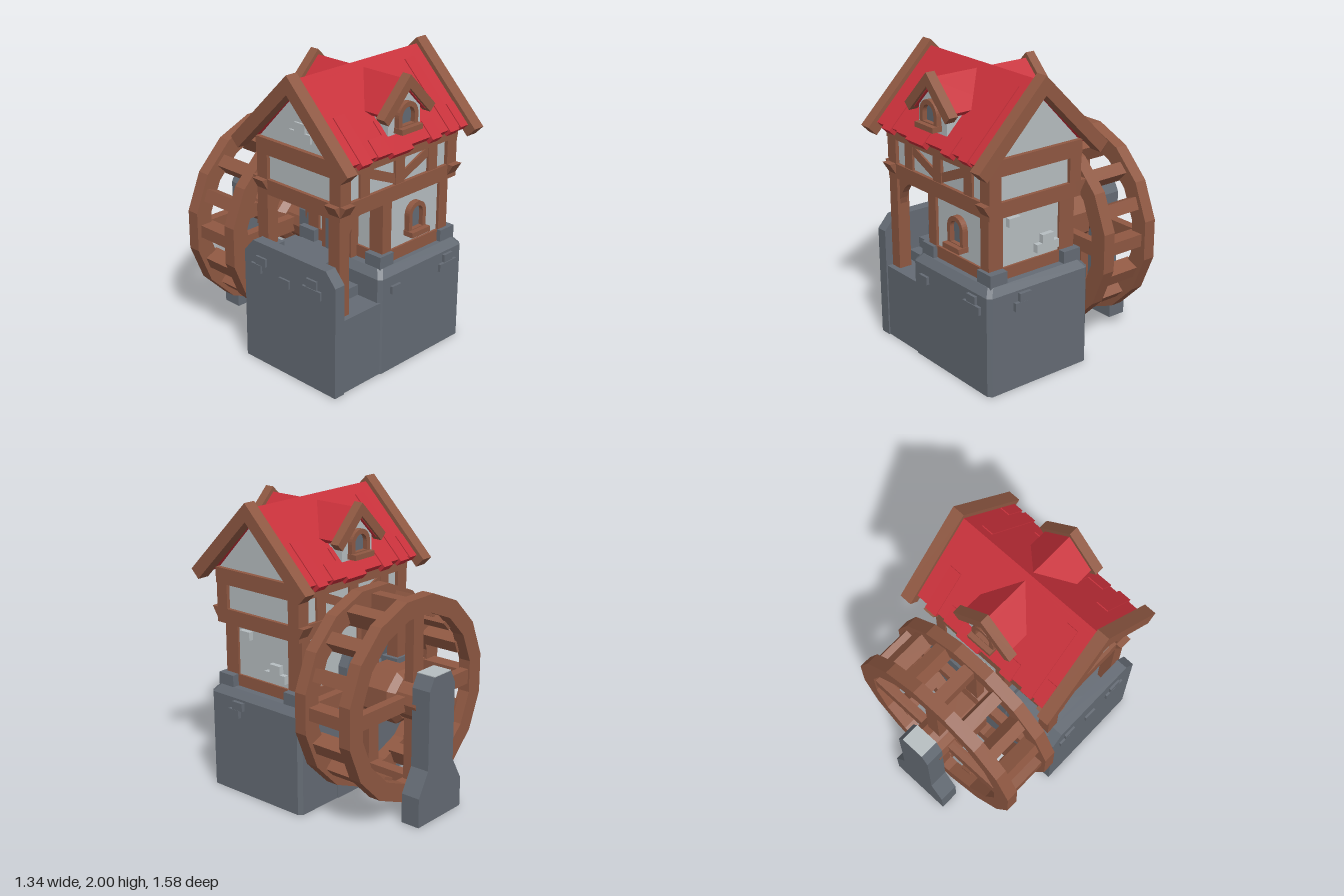
import * as THREE from 'three';
import { ConvexGeometry } from 'three/addons/geometries/ConvexGeometry.js';

const mat = (name, color) => {
  const m = new THREE.MeshStandardMaterial({ color });
  m.name = name;
  return m;
};

export function createModel() {
  const wood = mat('brown timber', 0x8f5842);
  const stone = mat('grey stone', 0x646b74);
  const plaster = mat('pale plaster', 0xb6bdc0);
  const red = mat('red roof', 0xc8303a);
  const model = new THREE.Group();
  model.name = 'watermill';
  const MZ = 0.285; // middle of the house in z

  const add = (parent, name, geo, material) => {
    const m = new THREE.Mesh(geo, material);
    m.name = name;
    parent.add(m);
    return m;
  };
  const group = (parent, name, x = 0, y = 0, z = 0) => {
    const g = new THREE.Group();
    g.name = name;
    g.position.set(x, y, z);
    parent.add(g);
    return g;
  };
  // box given by its limits on each axis
  const box = (parent, name, material, x0, x1, y0, y1, z0, z1) => {
    const m = add(parent, name, new THREE.BoxGeometry(x1 - x0, y1 - y0, z1 - z0), material);
    m.position.set((x0 + x1) / 2, (y0 + y1) / 2, (z0 + z1) / 2);
    return m;
  };
  const shapeOf = (pts) => new THREE.Shape(pts.map(([x, y]) => new THREE.Vector2(x, y)));
  const extrude = (shape, depth) => new THREE.ExtrudeGeometry(shape, { depth, bevelEnabled: false, curveSegments: 8 });
  const prism = (parent, name, material, pts, z0, z1) => {
    const m = add(parent, name, extrude(shapeOf(pts), z1 - z0), material);
    m.position.z = z0;
    return m;
  };
  // prism along x from a (z, y) profile
  const prismX = (parent, name, material, pts, x0, x1) => {
    const geo = extrude(shapeOf(pts.map(([z, y]) => [-z, y])), x1 - x0);
    geo.rotateY(Math.PI / 2);
    const m = add(parent, name, geo, material);
    m.position.x = x0;
    return m;
  };
  // beam between two points in the xy plane
  const brace = (parent, name, x0, y0, x1, y1, w, z0, z1) => {
    const m = add(parent, name, new THREE.BoxGeometry(Math.hypot(x1 - x0, y1 - y0), w, z1 - z0), wood);
    m.position.set((x0 + x1) / 2, (y0 + y1) / 2, (z0 + z1) / 2);
    m.rotation.z = Math.atan2(y1 - y0, x1 - x0);
  };

  // --- stone base with bevelled corners and rim
  const loop = (x0, x1, z0, z1, c, y) => [[x0 + c, z0], [x1 - c, z0], [x1, z0 + c], [x1, z1 - c],
    [x1 - c, z1], [x0 + c, z1], [x0, z1 - c], [x0, z0 + c]].map(([x, z]) => new THREE.Vector3(x, y, z));
  add(model, 'stoneBase', new ConvexGeometry([
    ...loop(-0.22, 0.58, -0.115, 0.69, 0.025, 0), ...loop(-0.22, 0.58, -0.115, 0.69, 0.025, 0.67),
    ...loop(-0.18, 0.54, -0.075, 0.65, 0.025, 0.72)]), stone);
  [0.68, 0.5, 0.42, 0.34].forEach((z, i) =>
    box(model, 'stairStep', stone, -0.55, -0.18, 0, 0.51 + i * 0.07, -0.11, z));
  prismX(model, 'stairWall', stone, [[-0.115, 0], [0.69, 0], [0.69, 0.76], [0.61, 0.85], [-0.035, 0.85], [-0.115, 0.76]], -0.62, -0.54);

  // --- small raised bricks: front faces, then side faces
  const bricks = group(model, 'bricks');
  const frontBrick = (x, y) => box(bricks, 'brick', stone, x - 0.042, x + 0.042, y - 0.026, y + 0.026, 0.66, 0.71);
  [[-0.085, 0.578], [0.42, 0.627], [0.38, 0.57], [0.46, 0.57]].forEach(([x, y]) => frontBrick(x, y));
  const sideBrick = (m, x, z, y) => box(bricks, 'brick', m, x - 0.025, x + 0.025, y - 0.028, y + 0.028, z - 0.045, z + 0.045);
  [[0.42, 0.627], [0.455, 0.57]].forEach(([z, y]) => sideBrick(stone, 0.58, z, y));
  [[0.43, 1.09], [0.165, 0.918], [0.21, 0.862], [0.122, 0.862]].forEach(([z, y]) => sideBrick(plaster, 0.485, z, y));
  [[0.46, 0.67], [0.53, 0.67], [0.495, 0.73], [0.255, 0.65], [0.0, 0.67], [0.045, 0.73]].forEach(([z, y]) => sideBrick(stone, -0.61, z, y));
  [[0.25, 1.6], [0.34, 1.6], [0.295, 1.656]].forEach(([z, y]) => sideBrick(plaster, -0.5, z, y));

  // --- ground floor
  const lower = group(model, 'groundFloor');
  box(lower, 'lowerWalls', plaster, -0.115, 0.475, 0.72, 1.16, -0.045, 0.6);
  box(lower, 'sillBeam', wood, -0.13, 0.49, 0.72, 0.8, -0.06, 0.615);
  for (const [x0, x1, f0, f1] of [[-0.13, -0.05, -0.175, -0.05], [0.41, 0.49, 0.405, 0.54]])
    for (const [z0, z1, g0, g1] of [[0.51, 0.62, 0.515, 0.645], [-0.06, 0.06, -0.075, 0.06]]) {
      box(lower, 'cornerPost', wood, x0, x1, 0.78, 1.16, z0, z1);
      box(lower, 'postFootStone', stone, f0, f1, 0.7, 0.8, g0, g1);
    }

  // arched window: frame, glass and sill, with its bottom centre at the origin
  const arch = (w, h) => {
    const s = new THREE.Shape();
    s.moveTo(-w, 0).lineTo(w, 0).lineTo(w, h - w).absarc(0, h - w, w, 0, Math.PI, false).lineTo(-w, 0);
    return s;
  };
  const archWindow = (parent, x, y, z, w, h, t) => {
    const g = group(parent, 'window', x, y, z);
    const s = arch(w, h);
    const hole = arch(w - t, h - 2 * t);
    s.holes.push(new THREE.Path(hole.getPoints(8).map((p) => p.add(new THREE.Vector2(0, t)))));
    add(g, 'windowFrame', extrude(s, 0.04), wood);
    add(g, 'windowGlass', extrude(arch(w - t, h - 2 * t), 0.008), stone).position.y = t;
    box(g, 'windowSill', wood, -w - 0.005, w + 0.005, -0.01, 0.025, 0, 0.075);
    return g;
  };
  archWindow(lower, 0.177, 0.865, 0.6, 0.08, 0.21, 0.03);

  // door at the top of the stairs
  const door = group(lower, 'door', -0.115, 0.72, 0.27);
  door.rotation.y = -Math.PI / 2;
  add(door, 'doorFrame', extrude(arch(0.13, 0.4), 0.065), wood);
  add(door, 'doorPanel', extrude(arch(0.095, 0.36), 0.008), stone).position.z = 0.06;

  // --- porch posts, curved bracket and corbels
  const porch = group(model, 'porch');
  box(porch, 'frontPost', wood, -0.535, -0.45, 0.51, 1.16, 0.55, 0.64);
  box(porch, 'backPost', wood, -0.535, -0.45, 0.72, 1.16, -0.075, 0.015);
  box(porch, 'backPostFootStone', stone, -0.55, -0.42, 0.7, 0.8, -0.095, 0.04);
  for (const z of [0.57, -0.055]) {
    const s = new THREE.Shape();
    s.moveTo(-0.46, 0.9).quadraticCurveTo(-0.44, 1.15, -0.24, 1.16).lineTo(-0.46, 1.16);
    add(porch, 'archBracket', extrude(s, 0.05), wood).position.z = z;
    prism(porch, 'sideCorbel', wood, [[-0.5, 1.16], [-0.535, 1.18], [-0.577, 1.25], [-0.5, 1.25]], z - 0.02, z + 0.07);
  }
  for (const x of [-0.535, 0.45]) {
    prismX(porch, 'frontCorbel', wood, [[0.6, 1.17], [0.64, 1.17], [0.69, 1.25], [0.6, 1.25]], x, x + 0.085);
    prismX(porch, 'backCorbel', wood, [[-0.03, 1.17], [-0.03, 1.25], [-0.118, 1.25], [-0.07, 1.17]], x, x + 0.085);
  }

  // --- upper floor: slab, plaster core and timber frame
  const upper = group(model, 'upperFloor', 0, 0, MZ);
  box(upper, 'floorBeam', wood, -0.535, 0.535, 1.15, 1.25, -0.36, 0.36);
  box(upper, 'upperWalls', plaster, -0.51, 0.51, 1.24, 1.45, -0.335, 0.335);
  box(upper, 'topBeam', wood, -0.54, 0.54, 1.415, 1.52, -0.362, 0.362);
  for (const turn of [0, Math.PI]) {
    const side = group(upper, 'timberFrame');
    side.rotation.y = turn;
    for (const s of [-1, 1]) {
      const px = s * 0.49;
      box(side, 'cornerPost', wood, px - 0.045, px + 0.045, 1.24, 1.43, 0.27, 0.36);
      box(side, 'middleStud', wood, s * 0.312 - 0.042, s * 0.312 + 0.042, 1.24, 1.43, 0.3, 0.352);
      brace(side, 'brace', s * 0.29, 1.395, s * 0.01, 1.275, 0.06, 0.3, 0.348);
    }
    box(side, 'centrePost', wood, -0.042, 0.042, 1.24, 1.43, 0.3, 0.355);
  }

  // --- main roof
  const roof = group(model, 'roof', 0, 0, MZ);
  prismX(roof, 'gableWalls', plaster, [[-0.37, 1.5], [0.37, 1.5], [0, 1.89]], -0.51, 0.51);
  // loose tile strips: x start, x end, slope start, slope end
  const strips = [[-0.45, -0.36, 0.3, 0.64], [-0.18, 0, 0.4, 0.645], [0.18, 0.27, 0.5, 0.64], [0.355, 0.44, 0.08, 0.635], [-0.3, -0.18, 0.5, 0.625], [0.46, 0.53, 0.45, 0.628]];
  for (const turn of [0, Math.PI]) {
    const half = group(roof, 'roofHalf');
    half.rotation.y = turn;
    const slope = group(half, 'roofSlope', 0, 1.96, 0);
    slope.rotation.x = Math.PI / 4;
    box(slope, 'roofPanel', red, -0.54, 0.54, -0.05, 0, 0, 0.615);
    for (const [x0, x1, z0, z1] of strips) box(slope, 'tileStrip', red, x0, x1, -0.045, 0.007, z0, z1);
    for (const s of [-1, 1]) box(slope, 'bargeBoard', wood, s * 0.578 - 0.043, s * 0.578 + 0.043, -0.057, 0.028, -0.028, 0.68);

    // dormer with its own gable, roof and window
    const dormer = group(half, 'dormer');
    prism(dormer, 'dormerWall', plaster, [[-0.145, 1.545], [0.145, 1.545], [0.145, 1.74], [0, 1.885], [-0.145, 1.74]], 0.1, 0.375);
    archWindow(dormer, 0, 1.615, 0.37, 0.088, 0.175, 0.032);
    for (const s of [0, 1]) {
      const side = group(dormer, 'dormerSlope', 0, 1.925, 0);
      side.rotation.set(0, 0, s ? -Math.PI / 4 : Math.PI / 4);
      const d = s ? 1 : -1;
      const run = (name, m, a, b, y0, y1, z0, z1) =>
        box(side, name, m, Math.min(d * a, d * b), Math.max(d * a, d * b), y0, y1, z0, z1);
      run('dormerRoofPanel', red, 0, 0.27, -0.04, 0, 0.03, 0.4);
      run('dormerBargeBoard', wood, -0.025, 0.305, -0.037, 0.025, 0.355, 0.42);
    }
  }

  // --- water wheel
  const wheel = group(model, 'waterWheel', 0, 0.76, -0.385);
  const N = 16;
  const ngon = (apothem) => Array.from({ length: N }, (_, i) => {
    const a = (i + 0.5) * 2 * Math.PI / N, r = apothem / Math.cos(Math.PI / N);
    return new THREE.Vector2(r * Math.cos(a), r * Math.sin(a));
  });
  for (const z of [-0.222, 0.135]) {
    const s = new THREE.Shape(ngon(0.67));
    s.holes.push(new THREE.Path(ngon(0.55)));
    add(wheel, 'wheelRim', extrude(s, 0.087), wood).position.z = z;
    box(wheel, 'spokeAcross', wood, -0.58, 0.58, -0.05, 0.05, z + 0.012, z + 0.075);
    box(wheel, 'spokeUpright', wood, -0.05, 0.05, -0.58, 0.58, z + 0.01, z + 0.077);
  }
  for (let i = 0; i < N; i++) {
    const a = i * 2 * Math.PI / N;
    const p = add(wheel, 'paddle', new THREE.BoxGeometry(0.11, 0.085, 0.3), wood);
    p.position.set(0.585 * Math.cos(a), 0.585 * Math.sin(a), 0);
    p.rotation.z = a;
  }
  // barrel-shaped hub on a thick axle
  const barrel = [[0, -0.14], [0.145, -0.14], [0.19, -0.1], [0.19, 0.1], [0.145, 0.14], [0, 0.14]].map(([r, y]) => new THREE.Vector2(r, y));
  const flat = (geo) => { const g = geo.toNonIndexed(); g.computeVertexNormals(); return g; };
  const hub = new THREE.LatheGeometry(barrel, 8, Math.PI / 8);
  hub.rotateX(Math.PI / 2);
  add(wheel, 'hub', flat(hub), wood);
  const axle = new THREE.CylinderGeometry(0.135, 0.135, 0.6, 12);
  axle.rotateX(Math.PI / 2);
  add(wheel, 'axle', flat(axle), wood);

  // --- stone piers that carry the axle
  const pier = [[-0.22, 0], [0.22, 0], [0.22, 0.2], [0.13, 0.36], [0.13, 0.89], [0.085, 0.975], [-0.085, 0.975], [-0.13, 0.89], [-0.13, 0.36], [-0.22, 0.2]];
  for (const [z0, z1] of [[-0.79, -0.655], [-0.12, -0.035]]) {
    prism(model, 'axlePier', stone, pier, z0, z1);
    box(model, 'pierCap', plaster, -0.085, 0.085, 0.975, 0.98, z0, z1);
  }
  return model;
}
